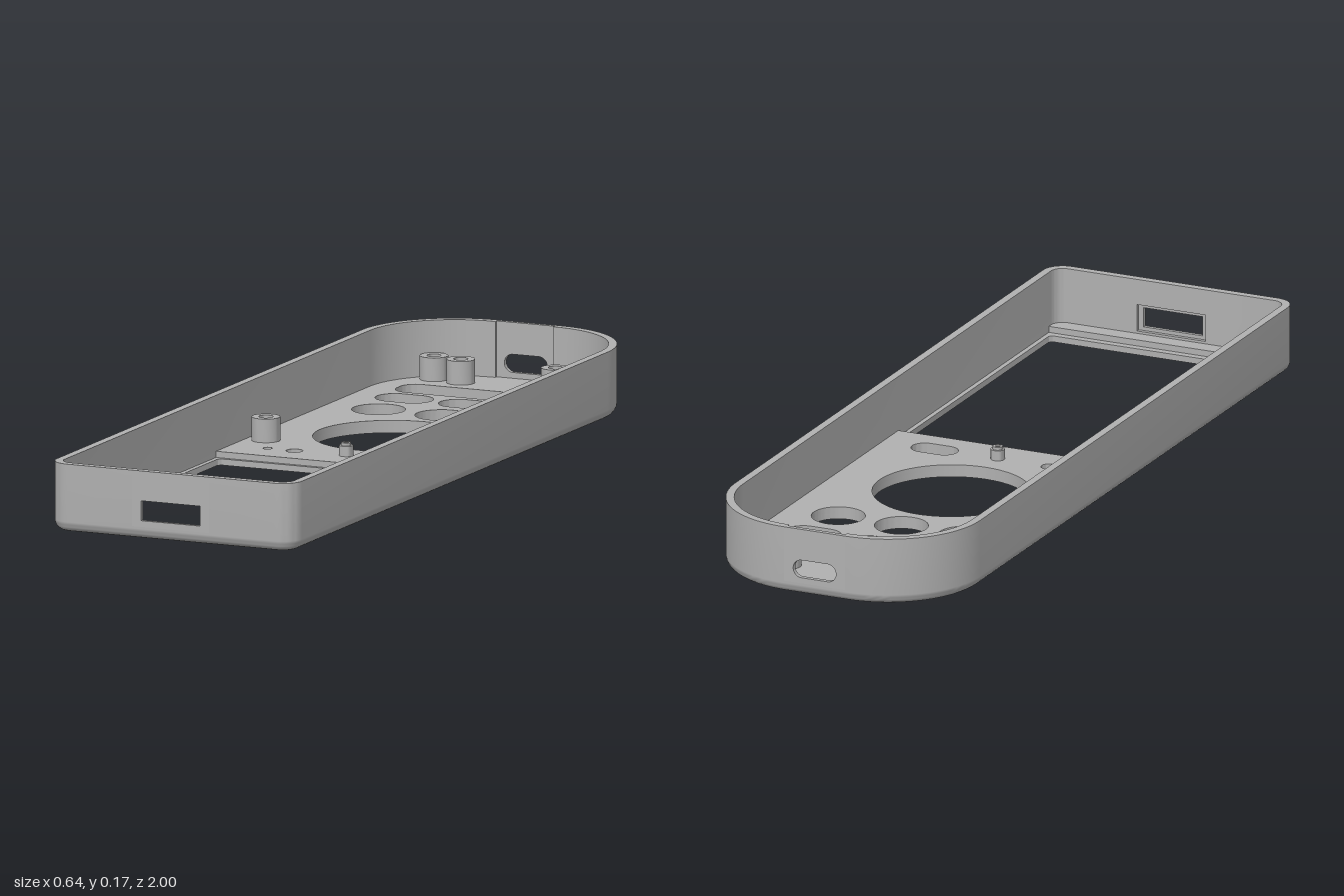
import * as THREE from 'three';
import { toCreasedNormals } from 'three/addons/utils/BufferGeometryUtils.js';

const HALF_W = 0.32, HEIGHT = 0.165, WALL = 0.02, FILLET = 0.025;
const FRONT_R = 0.05, BACK_R = 0.24, FRONT_SEG = 10, BACK_SEG = 24;
const LOWER = 0.015, FLOOR = 0.03, PANEL = 0.1;

// Plan outline, counter-clockwise, in (x, -z), moved inwards by d
function outline(d) {
  const pts = [];
  const corner = (cx, cy, r, start, seg) => {
    for (let i = 0; i <= seg; i++) {
      const a = start + (i / seg) * Math.PI / 2;
      pts.push(new THREE.Vector2(cx + (r - d) * Math.cos(a), cy + (r - d) * Math.sin(a)));
    }
  };
  const fx = HALF_W - FRONT_R, bx = HALF_W - BACK_R;
  corner(fx, -1 + FRONT_R, FRONT_R, -Math.PI / 2, FRONT_SEG);
  corner(bx, 1 - BACK_R, BACK_R, 0, BACK_SEG);
  corner(-bx, 1 - BACK_R, BACK_R, Math.PI / 2, BACK_SEG);
  corner(-fx, -1 + FRONT_R, FRONT_R, Math.PI, FRONT_SEG);
  pts.push(new THREE.Vector2(-PANEL, -1 + d), new THREE.Vector2(PANEL, -1 + d));
  return pts;
}

// Rounded rectangle; r = half the short side gives a slot or circle
function rounded(cx, cy, w, h, r) {
  const p = new THREE.Shape(), x = w / 2 - r, y = h / 2 - r, q = Math.PI / 2;
  p.moveTo(cx - x, cy - y - r);
  p.absarc(cx + x, cy - y, r, -q, 0, false);
  p.absarc(cx + x, cy + y, r, 0, q, false);
  p.absarc(cx - x, cy + y, r, q, 2 * q, false);
  p.absarc(cx - x, cy - y, r, 2 * q, 3 * q, false);
  return p;
}

function rect(x0, y0, x1, y1) {
  return new THREE.Shape([[x0, y0], [x1, y0], [x1, y1], [x0, y1]].map(p => new THREE.Vector2(...p)));
}

function extrude(shape, holes, depth) {
  shape.holes.push(...holes);
  return toCreasedNormals(
    new THREE.ExtrudeGeometry(shape, { depth, bevelEnabled: false, curveSegments: 12 }), 0.6);
}

// Wall swept round the outline, left open for the front and back panels
function wallGeometry() {
  const profile = [];
  for (let i = 0; i <= 6; i++) {
    const a = (i / 6) * Math.PI / 2;
    profile.push([FILLET * (1 - Math.sin(a)), FILLET * (1 - Math.cos(a))]);
  }
  const open = profile.length;
  profile.push([0, FLOOR], [0, HEIGHT], [WALL, HEIGHT], [WALL, FLOOR], [WALL, LOWER], [FILLET, LOWER]);
  const pos = [], index = [];
  let n = 0;
  for (const [d, y] of profile) {
    const ring = outline(d);
    n = ring.length;
    for (const p of ring) pos.push(p.x, y, -p.y);
  }
  const backGap = FRONT_SEG + 1 + BACK_SEG, frontGap = n - 2;
  for (let i = 0; i < profile.length - 1; i++) {
    for (let j = 0; j < n; j++) {
      if (i >= open && i < open + 3 && (j === backGap || j === frontGap)) continue;
      const k = (j + 1) % n, a = i * n + j, b = i * n + k;
      index.push(a, b, b + n, a, b + n, a + n);
    }
  }
  const g = new THREE.BufferGeometry();
  g.setAttribute('position', new THREE.Float32BufferAttribute(pos, 3));
  g.setIndex(index);
  return toCreasedNormals(g, 0.6);
}

export function createModel() {
  const model = new THREE.Group();
  model.name = 'handheldCaseShell';
  const grey = new THREE.MeshStandardMaterial({ color: 0xb0b0b0 });
  grey.name = 'shell grey';

  const add = (name, geometry, x = 0, y = 0, z = 0) => {
    const mesh = new THREE.Mesh(geometry, grey);
    mesh.name = name;
    mesh.position.set(x, y, z);
    model.add(mesh);
    return mesh;
  };
  const lay = (name, shape, holes, y, depth) =>
    add(name, extrude(shape, holes, depth).rotateX(-Math.PI / 2), 0, y, 0);

  add('outerWall', wallGeometry());

  // Button openings, shared by both floor layers
  const buttonHoles = () => {
    const holes = [
      rounded(0, 0.78, 0.47, 0.1, 0.04),
      rounded(0, 0.24, 0.376, 0.376, 0.188),
      rounded(0.165, -0.017, 0.117, 0.065, 0.0325),
      rounded(0, -0.017, 0.012, 0.012, 0.006),
    ];
    for (const x of [-0.165, 0, 0.165]) {
      holes.push(rounded(x, 0.662, 0.143, 0.095, 0.0475));
      holes.push(rounded(x, 0.518, 0.128, 0.128, 0.064));
    }
    return holes;
  };

  // Lower layer: screen window and the shallow groove under the two small holes
  lay('faceplate', new THREE.Shape(outline(FILLET)), [
    ...buttonHoles(),
    rounded(0, -0.515, 0.576, 0.806, 0.012),
    rounded(-0.168, -0.017, 0.125, 0.048, 0.024),
  ], 0, LOWER);

  // Upper layer ends at the screen recess
  const inset = 0.012, side = HALF_W - inset;
  const buttonPlate = new THREE.Shape([
    new THREE.Vector2(-side, -0.102), new THREE.Vector2(side, -0.102),
    ...outline(inset).filter(p => p.y > 0),
  ]);
  lay('buttonPlate', buttonPlate, [
    ...buttonHoles(),
    rounded(-0.205, -0.017, 0.022, 0.022, 0.011),
    rounded(-0.135, -0.017, 0.04, 0.04, 0.02),
  ], LOWER, FLOOR - LOWER);
  add('screenStopBar', new THREE.BoxGeometry(0.6, FLOOR - LOWER, 0.048), 0, (LOWER + FLOOR) / 2, 0.961);

  // Front panel: port window with a wider rebate on the inside
  add('frontPanelOuter', extrude(rect(-PANEL, FLOOR, PANEL, HEIGHT),
    [rect(-0.077, 0.045, 0.077, 0.093)], WALL / 2), 0, 0, 1 - WALL / 2);
  add('frontPanelInner', extrude(rect(-PANEL, FLOOR, PANEL, HEIGHT),
    [rect(-0.09, 0.036, 0.09, 0.102)], WALL / 2), 0, 0, 1 - WALL);

  // Thinner back panel with an oval port, and the ends of the wall beside it
  const backX = HALF_W - BACK_R;
  add('backPanel', extrude(rect(-backX, FLOOR, backX, HEIGHT),
    [rounded(0, 0.066, 0.112, 0.044, 0.022)], inset), 0, 0, -1);
  for (const s of [-1, 1]) {
    add('backPanelJamb', new THREE.BoxGeometry(0.004, HEIGHT - FLOOR, WALL),
      s * (backX - 0.002), (HEIGHT + FLOOR) / 2, -1 + WALL / 2);
  }

  // Hollow screw posts and the small stepped pin
  const lathe = pts => toCreasedNormals(
    new THREE.LatheGeometry(pts.map(p => new THREE.Vector2(...p)), 32), 0.6);
  const post = lathe([[0.034, FLOOR], [0.034, 0.087], [0.017, 0.087], [0.017, FLOOR]]);
  for (const [x, z] of [[-0.2, -0.903], [-0.125, -0.892], [0.122, -0.892], [0.197, -0.903], [-0.25, -0.07]]) {
    add('screwPost', post, x, 0, z);
  }
  add('locatingPin', lathe([[0.017, FLOOR], [0.017, 0.055], [0.012, 0.055], [0.012, 0.062],
    [0.006, 0.062], [0.006, FLOOR]]), 0, 0, 0.017);

  return model;
}
